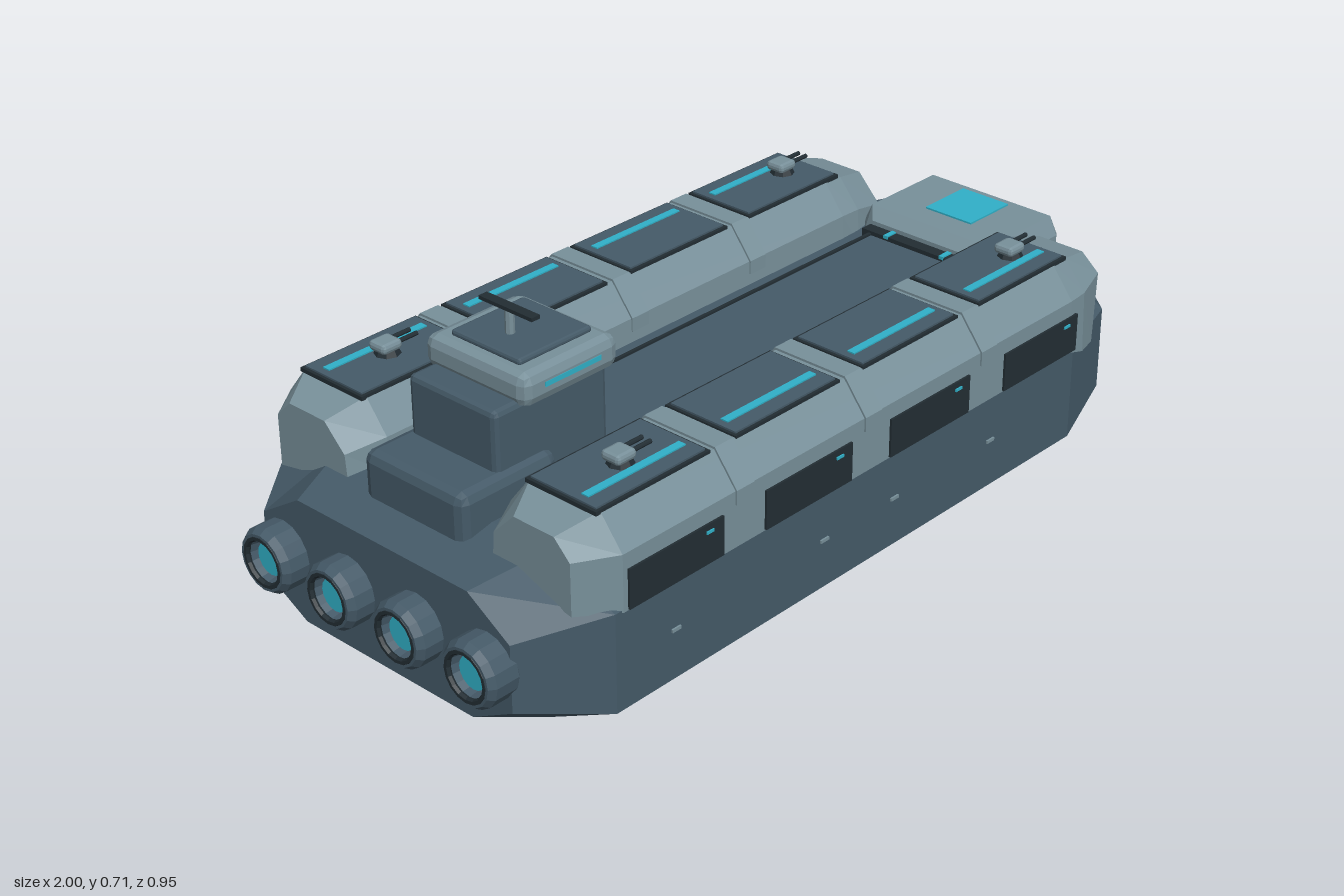
import * as THREE from 'three';
import { RoundedBoxGeometry } from 'three/addons/geometries/RoundedBoxGeometry.js';

const paint = (color) => new THREE.MeshStandardMaterial({ color, flatShading: true });
const HULL = paint(0x455a68), PLATE = paint(0x78909a), DARK = paint(0x222d33), GLOW = paint(0x30b0c8);

// Skin between cross-sections along x; each section is [x, [[z, y], ...]].
function loft(sections) {
  const rings = sections.map(([x, pts]) => {
    let area = 0;
    pts.forEach(([z, y], i) => {
      const [z2, y2] = pts[(i + 1) % pts.length];
      area += y * z2 - y2 * z;
    });
    return (area > 0 ? pts : [...pts].reverse()).map(([z, y]) => [x, y, z]);
  });
  const out = [], n = rings[0].length;
  const tri = (...p) => p.forEach((v) => out.push(...v));
  for (let s = 0; s + 1 < rings.length; s++) {
    const a = rings[s], b = rings[s + 1];
    for (let i = 0; i < n; i++) {
      const j = (i + 1) % n;
      tri(a[i], a[j], b[j]);
      tri(a[i], b[j], b[i]);
    }
  }
  const first = rings[0], last = rings[rings.length - 1];
  for (let i = 1; i + 1 < n; i++) {
    tri(first[0], first[i + 1], first[i]);
    tri(last[0], last[i], last[i + 1]);
  }
  const g = new THREE.BufferGeometry();
  g.setAttribute('position', new THREE.Float32BufferAttribute(out, 3));
  g.computeVertexNormals();
  return g;
}

const mirrored = (half) => [...half, ...[...half].reverse().map(([z, y]) => [-z, y])];

export function createModel() {
  const model = new THREE.Group();
  model.name = 'armouredTransport';

  const add = (name, geometry, material, parent = model) => {
    const m = new THREE.Mesh(geometry, material);
    m.name = name;
    parent.add(m);
    return m;
  };
  // Box from its extents; a bevel above zero chamfers the edges.
  const box = (name, mat, [x0, x1], [y0, y1], [z0, z1], bevel = 0, parent = model) => {
    const d = [x1 - x0, y1 - y0, z1 - z0];
    const g = bevel ? new RoundedBoxGeometry(...d, 1, bevel) : new THREE.BoxGeometry(...d);
    const m = add(name, g, mat, parent);
    m.position.set((x0 + x1) / 2, (y0 + y1) / 2, (z0 + z1) / 2);
    return m;
  };

  // Hull: octagonal sections [x, half width, flat half width, four heights]
  const hullSections = [
    [-0.94, 0.35, 0.24, 0.06, 0.12, 0.27, 0.34],
    [-0.78, 0.463, 0.29, 0, 0.09, 0.31, 0.375],
    [0.64, 0.463, 0.29, 0, 0.09, 0.31, 0.375],
    [0.86, 0.385, 0.25, 0.035, 0.1, 0.295, 0.37],
    [1, 0.25, 0.155, 0.1, 0.145, 0.26, 0.305],
  ].map(([x, w, f, a, b, c, d]) => [x, mirrored([[f, a], [w, b], [w, c], [f, d]])]);
  add('hull', loft(hullSections), HULL);

  // Central deck with edge rails
  box('deckPlate', HULL, [-0.68, 0.68], [0.36, 0.385], [-0.13, 0.13]);
  for (const s of [-1, 1])
    box('deckRail', DARK, [-0.66, 0.68], [0.38, 0.39], [s * 0.127 - 0.004, s * 0.127 + 0.004]);

  // Side casemates, mirrored
  const full = [[0.465, 0.305], [0.465, 0.43], [0.41, 0.5], [0.23, 0.5], [0.175, 0.43], [0.172, 0.35]];
  const podSections = [
    [-0.84, [[0.41, 0.31], [0.41, 0.425], [0.37, 0.465], [0.265, 0.465], [0.21, 0.41], [0.205, 0.35]]],
    [-0.76, full],
    [0.62, full],
    [0.68, [[0.46, 0.285], [0.455, 0.425], [0.4, 0.49], [0.235, 0.49], [0.18, 0.425], [0.175, 0.34]]],
    [0.78, [[0.415, 0.255], [0.42, 0.425], [0.375, 0.463], [0.26, 0.463], [0.2, 0.4], [0.197, 0.33]]],
  ];
  const ribRing = [[0.469, 0.4], [0.469, 0.432], [0.412, 0.505], [0.228, 0.505], [0.171, 0.432], [0.171, 0.4]];

  for (const s of [-1, 1]) {
    const side = new THREE.Group();
    side.name = s > 0 ? 'leftSide' : 'rightSide';
    model.add(side);
    const flip = (ring) => ring.map(([z, y]) => [s * z, y]);
    const sideBox = (name, mat, x, y, [a, b], bevel = 0) =>
      box(name, mat, x, y, s > 0 ? [a, b] : [-b, -a], bevel, side);

    add('casemate', loft(podSections.map(([x, r]) => [x, flip(r)])), PLATE, side);
    for (const x of [-0.43, -0.05, 0.325])
      add('rib', loft([[x - 0.025, flip(ribRing)], [x + 0.025, flip(ribRing)]]), PLATE, side);

    // Roof hatches with light strips, and side bays with lamps
    for (let i = 0; i < 4; i++) {
      const x = -0.62 + i * 0.377;
      sideBox('hatchFrame', DARK, [x - 0.153, x + 0.153], [0.495, 0.504], [0.228, 0.412]);
      sideBox('roofHatch', HULL, [x - 0.146, x + 0.146], [0.495, 0.508], [0.236, 0.405]);
      sideBox('hatchLight', GLOW, [x - 0.13, x + 0.13], [0.5, 0.511], [0.352, 0.37]);
      sideBox('sideBay', DARK, [x - 0.128, x + 0.128], [0.308, 0.395], [0.45, 0.47]);
      sideBox('bayLamp', GLOW, [x + 0.078, x + 0.098], [0.376, 0.382], [0.46, 0.473]);
    }
    for (const x of [-0.62, -0.19, 0.03, 0.35])
      sideBox('hullMarkerLight', PLATE, [x - 0.012, x + 0.012], [0.198, 0.205], [0.455, 0.467]);

    // Small twin-barrel turrets
    for (const x of [-0.62, 0.58]) {
      const turret = new THREE.Group();
      turret.name = 'turret';
      turret.position.set(x, 0.505, s * 0.325);
      side.add(turret);
      add('turretBase', new THREE.CylinderGeometry(0.022, 0.03, 0.016, 8), DARK, turret).position.y = 0.008;
      box('turretHead', PLATE, [-0.03, 0.022], [0.013, 0.035], [-0.024, 0.024], 0.008, turret);
      for (const z of [-0.011, 0.011]) {
        const barrel = add('barrel', new THREE.CylinderGeometry(0.005, 0.005, 0.06, 8), DARK, turret);
        barrel.rotation.z = Math.PI / 2;
        barrel.position.set(0.04, 0.025, z);
      }
    }
  }

  // Forward cabin with window, skylight and rear door
  const cabin = [
    [0.69, 0.165, 0.38, 0.405],
    [0.72, 0.19, 0.385, 0.428],
    [0.945, 0.19, 0.385, 0.428],
    [0.972, 0.172, 0.375, 0.4],
  ].map(([x, w, a, b]) => [x, mirrored([[w, 0.305], [w, a], [w - 0.02, b]])]);
  add('forwardCabin', loft(cabin), PLATE);
  box('cabinWindow', DARK, [0.95, 0.976], [0.315, 0.384], [-0.117, 0.117]);
  box('skylight', GLOW, [0.785, 0.925], [0.42, 0.432], [-0.065, 0.065]);
  box('cabinDoor', DARK, [0.66, 0.7], [0.37, 0.395], [-0.15, 0.15]);
  for (const z of [-0.08, 0.08])
    box('doorLight', GLOW, [0.658, 0.69], [0.39, 0.398], [z - 0.006, z + 0.006]);

  // Command tower at the stern
  box('towerBase', HULL, [-0.855, -0.6], [0.33, 0.457], [-0.14, 0.14], 0.022);
  box('towerBody', HULL, [-0.745, -0.445], [0.36, 0.585], [-0.12, 0.12], 0.012);
  box('towerHead', PLATE, [-0.685, -0.428], [0.57, 0.642], [-0.14, 0.14], 0.022);
  box('headWindow', GLOW, [-0.44, -0.425], [0.604, 0.617], [-0.1, 0.1]);
  for (const s of [-1, 1])
    box('headSideWindow', GLOW, [-0.63, -0.48], [0.604, 0.615], [s * 0.135 - 0.006, s * 0.135 + 0.006]);
  box('roofPlate', HULL, [-0.652, -0.458], [0.638, 0.654], [-0.095, 0.095], 0.006);
  add('mast', new THREE.CylinderGeometry(0.01, 0.01, 0.06, 8), PLATE).position.set(-0.585, 0.68, 0);
  box('antennaBar', DARK, [-0.596, -0.574], [0.705, 0.713], [-0.073, 0.073]);

  // Four stern thrusters: hollow nozzles with glowing cores
  const nozzle = [[0, 0], [0.06, 0], [0.072, 0.015], [0.072, 0.07], [0.062, 0.085], [0.05, 0.085], [0.044, 0.05], [0, 0.05]]
    .map(([r, y]) => new THREE.Vector2(r, y));
  for (const z of [-0.29, -0.097, 0.097, 0.29]) {
    const thruster = new THREE.Group();
    thruster.name = 'thruster';
    thruster.position.set(-0.915, 0.203, z);
    thruster.rotation.z = Math.PI / 2;
    model.add(thruster);
    add('nozzle', new THREE.LatheGeometry(nozzle, 16), HULL, thruster);
    const rim = add('nozzleRim', new THREE.TorusGeometry(0.052, 0.007, 6, 16), DARK, thruster);
    rim.rotation.x = Math.PI / 2;
    rim.position.y = 0.08;
    add('thrusterCore', new THREE.CylinderGeometry(0.036, 0.036, 0.02, 16), GLOW, thruster).position.y = 0.055;
  }

  return model;
}
